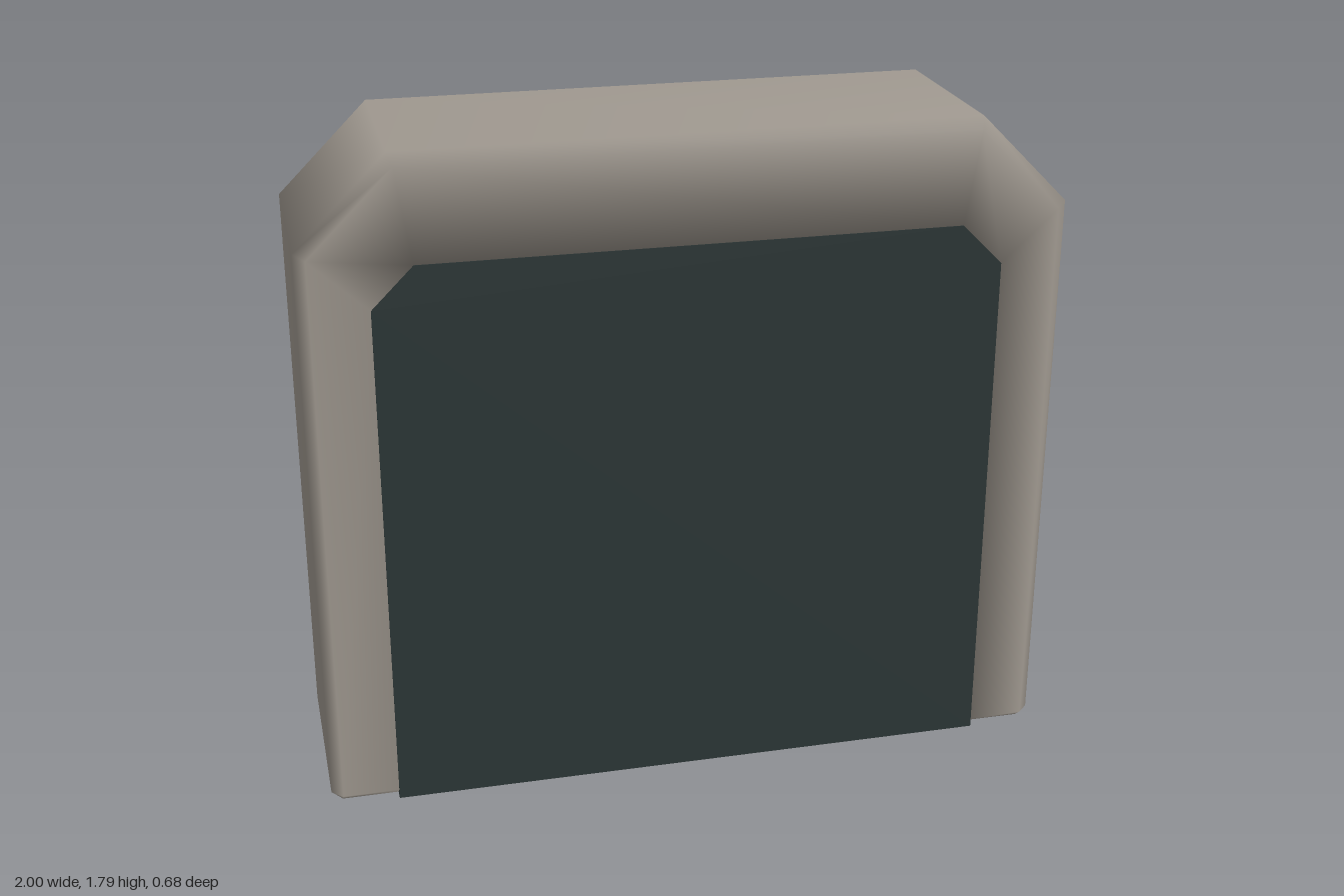
import * as THREE from 'three';

const DEPTH_FRONT = 0.34;

// Half-arch outline: half width, top height and corner cut, from +x foot to -x foot
function archPath([h, top, c], foot) {
  return [[h, foot], [h, top - c], [h - c, top], [c - h, top], [-h, top - c], [-h, foot]];
}

// Sweeps a cross-section around an arch. Each section point is
// { p: outline, z, endHalf, endZ }; the end values give the bevelled foot at y = 0.
function archLoft(section, lift) {
  const n = section.length;
  const pos = [], idx = [];
  const paths = section.map((s) => archPath(s.p, lift));
  const endRing = (sign) => section.forEach((s) => pos.push(sign * s.endHalf, 0, s.endZ));
  endRing(1);
  for (let k = 0; k < 6; k++) {
    section.forEach((s, j) => pos.push(paths[j][k][0], paths[j][k][1], s.z));
  }
  endRing(-1);
  for (let k = 0; k < 7; k++) {
    for (let j = 0; j < n; j++) {
      const a = k * n + j, b = k * n + (j + 1) % n;
      idx.push(a, a + n, b, a + n, b + n, b);
    }
  }
  // flat foot caps with their own corners
  const start = pos.length / 3;
  endRing(1);
  endRing(-1);
  for (let j = 1; j < n - 1; j++) {
    idx.push(start, start + j, start + j + 1);
    idx.push(start + n, start + n + j + 1, start + n + j);
  }
  const geo = new THREE.BufferGeometry();
  geo.setAttribute('position', new THREE.Float32BufferAttribute(pos, 3));
  geo.setIndex(idx);
  geo.computeVertexNormals();
  return geo;
}

export function createModel() {
  const group = new THREE.Group();
  const material = (name, color) => {
    const m = new THREE.MeshStandardMaterial({ color });
    m.name = name;
    return m;
  };
  const grey = material('warm grey', 0xa19a91);
  const cream = material('cream', 0xd8d2c2);
  const dark = material('dark slate', 0x2b3535);
  const add = (name, geo, mat, parent = group) => {
    const mesh = new THREE.Mesh(geo, mat);
    mesh.name = name;
    parent.add(mesh);
    return mesh;
  };

  // Main housing arch with bevelled outer edges
  const inner = [0.82, 1.51, 0.11];
  const outer = [1, 1.79, 0.24];
  const outerInset = [0.97, 1.76, 0.222];
  add('housingArch', archLoft([
    { p: inner, z: -0.24, endHalf: 0.82, endZ: -0.21 },
    { p: outerInset, z: -0.24, endHalf: 0.97, endZ: -0.21 },
    { p: outer, z: -0.21, endHalf: 0.97, endZ: -0.21 },
    { p: outer, z: 0.31, endHalf: 0.97, endZ: 0.31 },
    { p: outerInset, z: DEPTH_FRONT, endHalf: 0.97, endZ: 0.31 },
    { p: inner, z: DEPTH_FRONT, endHalf: 0.82, endZ: 0.31 },
  ], 0.025), grey);

  // Rounded trim around the rear opening
  const trimOuter = [0.95, 1.7, 0.21];
  const trimOuterInset = [0.9, 1.65, 0.18];
  const trimInnerInset = [0.87, 1.56, 0.14];
  add('rearTrim', archLoft([
    { p: trimInnerInset, z: -0.34, endHalf: 0.87, endZ: -0.29 },
    { p: trimOuterInset, z: -0.34, endHalf: 0.9, endZ: -0.29 },
    { p: trimOuter, z: -0.29, endHalf: 0.92, endZ: -0.29 },
    { p: trimOuter, z: -0.22, endHalf: 0.92, endZ: -0.23 },
    { p: inner, z: -0.22, endHalf: 0.83, endZ: -0.23 },
    { p: inner, z: -0.29, endHalf: 0.83, endZ: -0.29 },
  ], 0.05), cream);

  // Panel closing the front of the arch
  const panelShape = new THREE.Shape(archPath(inner, 0).map(([x, y]) => new THREE.Vector2(x, y)));
  const panel = new THREE.ExtrudeGeometry(panelShape, { depth: 0.052, bevelEnabled: false });
  add('frontPanel', panel.translate(0, 0, 0.29), dark);

  // Hanging curtain strips of uneven length with rounded lower corners
  const curtain = new THREE.Group();
  curtain.name = 'curtain';
  group.add(curtain);
  const bottoms = [0.54, 0.55, 0.6, 0.53, 0.57, 0.54, 0.58, 0.57];
  const bevel = 0.015, w = 0.095 - bevel, r = 0.04;
  bottoms.forEach((bottom, i) => {
    const y = bottom + bevel;
    const s = new THREE.Shape();
    s.moveTo(-w, 1.5);
    s.lineTo(-w, y + r);
    s.quadraticCurveTo(-w, y, -w + r, y);
    s.lineTo(w - r, y);
    s.quadraticCurveTo(w, y, w, y + r);
    s.lineTo(w, 1.5);
    const geo = new THREE.ExtrudeGeometry(s, {
      depth: 0.02, bevelEnabled: true, bevelSize: bevel, bevelThickness: bevel, bevelSegments: 2, curveSegments: 4,
    });
    add('curtainStrip', geo.translate(0.7 - i * 0.2, 0, -0.19), dark, curtain);
  });

  return group;
}
